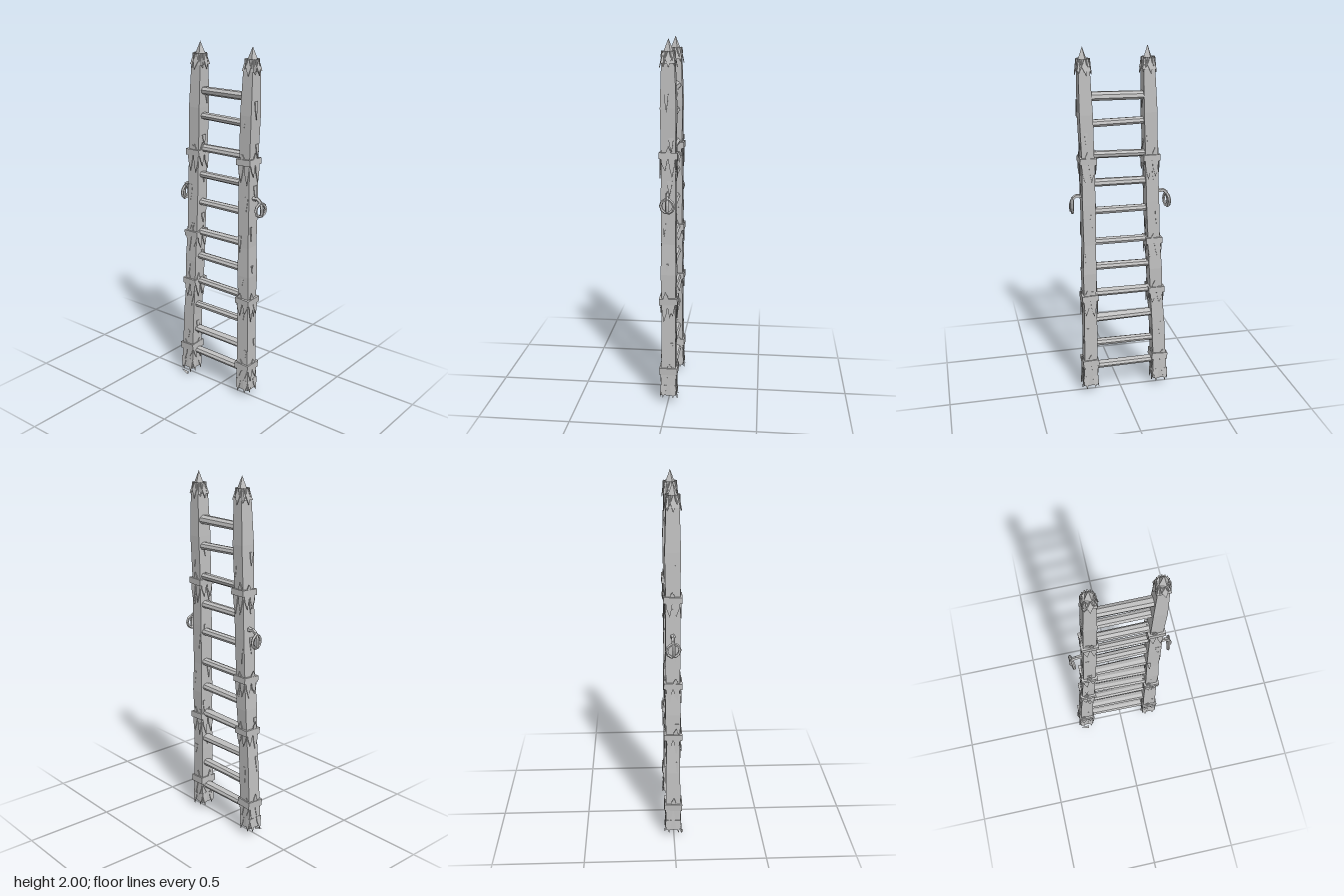
import * as THREE from 'three';
import { mergeGeometries } from 'three/addons/utils/BufferGeometryUtils.js';

const wood = new THREE.MeshStandardMaterial({ color: 0xc0c0c0, flatShading: true });
wood.name = 'weathered grey wood';

// Small seeded generator for the rough, hand-cut look
let seed = 7;
const rnd = (a, b) => {
  seed = (seed * 16807) % 2147483647;
  return a + (b - a) * seed / 2147483647;
};

// Each post: [y, centre x, half width, half depth] from foot to top
const posts = {
  rightPost: [
    [0.045, -0.232, 0.042, 0.042], [0.19, -0.226, 0.038, 0.040], [0.40, -0.217, 0.037, 0.039],
    [0.60, -0.202, 0.034, 0.037], [0.75, -0.195, 0.037, 0.042], [0.92, -0.184, 0.034, 0.038],
    [1.15, -0.174, 0.036, 0.040], [1.40, -0.165, 0.034, 0.038], [1.65, -0.156, 0.036, 0.042],
    [1.90, -0.147, 0.030, 0.034]],
  leftPost: [
    [0.045, 0.184, 0.042, 0.042], [0.19, 0.183, 0.038, 0.040], [0.40, 0.181, 0.037, 0.039],
    [0.60, 0.183, 0.034, 0.037], [0.75, 0.184, 0.037, 0.042], [0.92, 0.181, 0.034, 0.038],
    [1.15, 0.183, 0.036, 0.040], [1.40, 0.185, 0.034, 0.038], [1.65, 0.193, 0.036, 0.042],
    [1.90, 0.200, 0.030, 0.034]],
};
const Z = -0.004;

const centre = (rows, y) => {
  for (let i = 1; i < rows.length; i++) {
    const [a, b] = [rows[i - 1], rows[i]];
    if (y <= b[0] || i === rows.length - 1) return THREE.MathUtils.mapLinear(y, a[0], b[0], a[1], b[1]);
  }
};

const add = (parent, name, geometry) => {
  const mesh = new THREE.Mesh(geometry, wood);
  mesh.name = name;
  parent.add(mesh);
  return mesh;
};

// Square beam whose rows of vertices follow the listed sections
function beam(rows) {
  const n = rows.length - 1;
  const g = new THREE.BoxGeometry(2, 1, 2, 1, n, 1);
  const p = g.attributes.position;
  for (let i = 0; i < p.count; i++) {
    const [y, x, w, d] = rows[Math.round((p.getY(i) + 0.5) * n)];
    p.setXYZ(i, x + p.getX(i) * w, y, Z + p.getZ(i) * d);
  }
  g.computeVertexNormals();
  return g;
}

// Thin pointed plate; positive length points down, negative points up
function splinter(width, length, tilt, side, out, x, y, shift = 0) {
  const h = width / 2;
  const s = new THREE.Shape([
    new THREE.Vector2(-h, 0), new THREE.Vector2(h, 0),
    new THREE.Vector2(h * 0.7, -length * 0.45), new THREE.Vector2(rnd(-0.3, 0.3) * h, -length),
    new THREE.Vector2(-h * 0.8, -length * 0.4)]);
  const g = new THREE.ExtrudeGeometry(s, { depth: 0.004, bevelEnabled: false });
  return g.rotateX(-tilt).translate(shift, 0, out).rotateY(side * Math.PI / 2).translate(x, y, Z);
}

// Pointed cap with four drooping flaps and corner spikes
function buildCap(parent, x) {
  add(parent, 'capPoint', new THREE.ConeGeometry(0.037, 0.09, 4).rotateY(0.45).translate(x + 0.003, 1.955, Z));
  add(parent, 'capCollar', new THREE.CylinderGeometry(0.036, 0.053, 0.055, 4)
    .rotateY(Math.PI / 4).translate(x, 1.905, Z));
  const flaps = [];
  for (let k = 0; k < 8; k++) {
    flaps.push(splinter(0.046, k % 2 ? 0.078 : 0.085, 0.2, k / 2 + 0.06, 0.027, x, 1.938));
  }
  add(parent, 'capFlaps', mergeGeometries(flaps));
}

// Binding around the post with splintered wood on both sides of it
function buildBand(parent, x, y, height, spikes) {
  const band = add(parent, 'binding', new THREE.BoxGeometry(0.092, height, 0.1));
  band.position.set(x, y, Z);
  band.rotation.set(rnd(-0.05, 0.05), 0, rnd(-0.06, 0.06));
  const parts = [];
  for (let k = 0; k < 4; k++) {
    for (const s of [-1, 1]) {
      parts.push(splinter(0.036, rnd(0.06, 0.11) * spikes, 0.03, k, 0.040, x, y - height * 0.4, s * 0.02));
    }
    parts.push(splinter(0.03, -rnd(0.025, 0.045), -0.04, k, 0.040, x, y + height * 0.4, rnd(-0.02, 0.02)));
  }
  add(parent, 'bindingSplinters', mergeGeometries(parts));
}

// Bark chips scattered over a post
function buildChips(parent, rows) {
  const chips = [];
  for (let i = 0; i < 26; i++) {
    const y = 0.3 + i * 0.057;
    chips.push(splinter(rnd(0.012, 0.03), rnd(0.04, 0.1), rnd(0.0, 0.06), i % 4, 0.037,
      centre(rows, y), y, rnd(-0.022, 0.022)));
  }
  add(parent, 'barkChips', mergeGeometries(chips));
}

// Splayed foot with ragged points
function buildFoot(parent, x) {
  const points = [];
  for (let k = 0; k < 4; k++) {
    for (const s of [-1, 1]) {
      points.push(splinter(0.034, rnd(0.07, 0.085), 0.1, k, 0.038, x, 0.105, s * 0.026));
    }
  }
  add(parent, 'footSplinters', mergeGeometries(points));
}

// Hanging ring with its peg; dir is the outward x direction
function buildRing(parent, x, dir) {
  const handle = new THREE.Group();
  handle.name = 'ringHandle';
  handle.position.set(x, 1.19, Z);
  handle.scale.x = dir;
  parent.add(handle);
  const hook = new THREE.CatmullRomCurve3([
    [0.02, 0.005], [0.055, 0.012], [0.078, -0.012], [0.086, -0.045], [0.082, -0.075],
  ].map(([a, b]) => new THREE.Vector3(a, b, 0)));
  add(handle, 'hook', new THREE.TubeGeometry(hook, 8, 0.010, 5));
  const ring = add(handle, 'ring', new THREE.TorusGeometry(0.036, 0.0085, 5, 10));
  ring.position.set(0.077, -0.046, 0);
  ring.rotation.y = Math.PI / 2 - 0.2;
  const peg = add(handle, 'peg', new THREE.ConeGeometry(0.016, 0.07, 5));
  peg.position.set(0.05, 0.008, 0);
  peg.rotation.z = -Math.PI / 2 - 0.1;
}

export function createModel() {
  const model = new THREE.Group();
  model.name = 'ladder';

  // Posts
  for (const [name, rows] of Object.entries(posts)) {
    const post = new THREE.Group();
    post.name = name;
    model.add(post);
    add(post, 'beam', beam(rows));
    buildCap(post, rows.at(-1)[1]);
    const middle = name === 'rightPost' ? [0.92, 0.62] : [0.60];
    for (const y of [1.4, ...middle]) buildBand(post, centre(rows, y), y, 0.034, 1);
    buildBand(post, centre(rows, 0.19), 0.19, 0.04, 0.8);
    buildChips(post, rows);
    buildFoot(post, rows[0][1]);
    const dir = Math.sign(rows[0][1]);
    buildRing(post, centre(rows, 1.19) + (dir > 0 ? 0.008 : -0.014), dir);
  }

  // Loose sliver at the right foot
  const sliver = add(model, 'footSliver', new THREE.ConeGeometry(0.010, 0.055, 3));
  sliver.position.set(-0.25, 0.013, 0.045);
  sliver.rotation.z = 1.35;

  // Rungs
  [0.16, 0.305, 0.465, 0.62, 0.78, 0.93, 1.11, 1.27, 1.425, 1.60, 1.74].forEach((y, i) => {
    const a = centre(posts.rightPost, y) + 0.02, b = centre(posts.leftPost, y) - 0.02;
    const r = i === 10 ? 0.024 : 0.021;
    const rung = add(model, 'rung', new THREE.CylinderGeometry(r * 0.93, r, b - a, 8)
      .rotateZ(Math.PI / 2).scale(1, 1, 1.35));
    rung.position.set((a + b) / 2, y, -0.007);
    rung.rotation.set(rnd(-0.3, 0.3), rnd(-0.02, 0.02), rnd(-0.015, 0.015));
  });

  return model;
}
